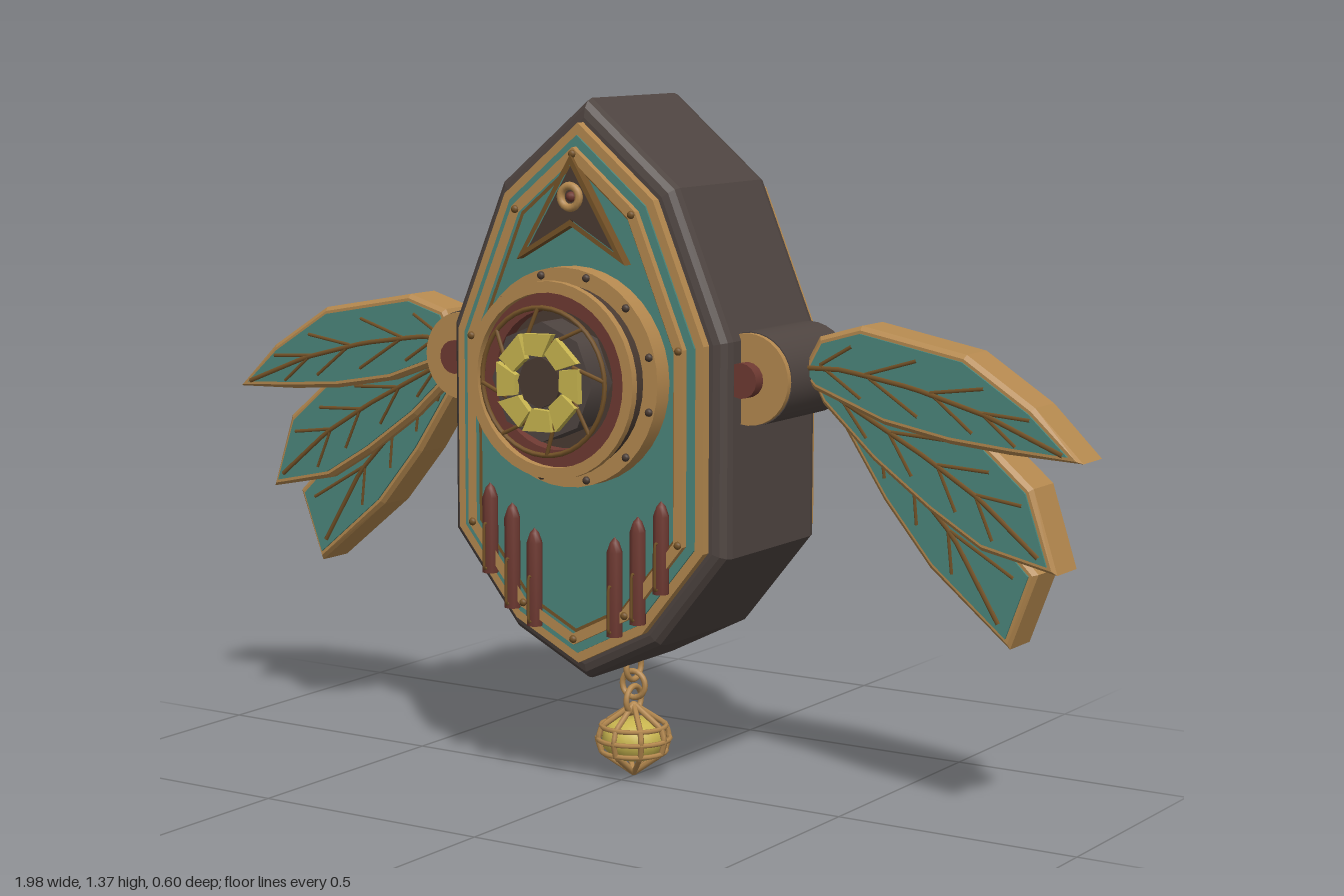
import * as THREE from 'three';

const mat = (name, color, side = THREE.FrontSide) => {
  const m = new THREE.MeshStandardMaterial({ color, side });
  m.name = name;
  return m;
};
const DARK = mat('dark casing', 0x4f4541);
const TEAL = mat('teal enamel', 0x4c877c);
const BRASS = mat('brass', 0xb5894f);
const BRONZE = mat('dark bronze', 0x755328);
const RED = mat('oxblood red', 0x6f3a32);
const GOLD = mat('yellow gold', 0xc9b650);
const BROWN = mat('dark brown', 0x4a3b32);

const V3 = (x, y, z) => new THREE.Vector3(x, y, z);

function add(parent, name, geometry, material, x = 0, y = 0, z = 0) {
  const m = new THREE.Mesh(geometry, material);
  m.name = name;
  m.position.set(x, y, z);
  parent.add(m);
  return m;
}

// Moves every edge of a polygon inward by d
function inset(pts, d) {
  const n = pts.length;
  let area = 0;
  pts.forEach(([x, y], i) => { const q = pts[(i + 1) % n]; area += x * q[1] - q[0] * y; });
  const s = Math.sign(area);
  const normal = (a, b) => {
    const l = Math.hypot(b[0] - a[0], b[1] - a[1]);
    return [-s * (b[1] - a[1]) / l, s * (b[0] - a[0]) / l];
  };
  return pts.map((p, i) => {
    const a = normal(pts[(i + n - 1) % n], p), b = normal(p, pts[(i + 1) % n]);
    const k = d / Math.max(0.15, 1 + a[0] * b[0] + a[1] * b[1]);
    return [p[0] + (a[0] + b[0]) * k, p[1] + (a[1] + b[1]) * k];
  });
}

// Extruded polygon between z0 and z1, with an optional hole and bevel
function plate(pts, z0, z1, hole = null, bevel = 0, segs = 1) {
  const toV = (a) => a.map(([x, y]) => new THREE.Vector2(x, y));
  const shape = new THREE.Shape(toV(bevel ? inset(pts, bevel) : pts));
  if (hole) shape.holes.push(new THREE.Path(toV(hole)));
  const g = new THREE.ExtrudeGeometry(shape, {
    depth: z1 - z0 - 2 * bevel, bevelEnabled: bevel > 0,
    bevelSize: bevel, bevelThickness: bevel, bevelSegments: segs,
  });
  return g.translate(0, 0, z0 + bevel);
}

// Flat-faced round ring between z0 and z1
function ring(rOut, rIn, z0, z1) {
  const p = [[rIn, z0], [rOut, z0], [rOut, z1], [rIn, z1], [rIn, z0]];
  const pts = p.flatMap(([r, z], i) => (i && i < 4 ? [[r, z], [r, z]] : [[r, z]]));
  return new THREE.LatheGeometry(pts.map(([r, z]) => new THREE.Vector2(r, z)), 40).rotateX(Math.PI / 2);
}
const disc = (r, z0, z1, seg = 32) =>
  new THREE.CylinderGeometry(r, r, z1 - z0, seg).rotateX(Math.PI / 2).translate(0, 0, (z0 + z1) / 2);

function rod(parent, name, points, r, material, seg = 6) {
  const path = new THREE.CurvePath();
  for (let i = 1; i < points.length; i++) path.add(new THREE.LineCurve3(points[i - 1], points[i]));
  return add(parent, name, new THREE.TubeGeometry(path, (points.length - 1) * 4, r, seg), material);
}

const half = [[0.2, 1.2], [0.32, 0.915], [0.32, 0.5], [0.17, 0.315]];
const OUTLINE = [[0, 1.365], ...half, [0, 0.23], ...half.slice().reverse().map(([x, y]) => [-x, y])];

// Trimmed enamel panel with arrowhead emblem and pipes, facing +z from z = 0
function makePanel(name) {
  const g = new THREE.Group();
  g.name = name;
  const at = (d) => inset(OUTLINE, d);
  add(g, 'outerTrim', plate(at(0.035), 0, 0.02, at(0.054)), BRASS);
  add(g, 'enamelPanel', plate(at(0.053), 0.004, 0.024), TEAL);
  add(g, 'innerTrim', plate(at(0.07), 0.02, 0.038, at(0.09)), BRASS);
  add(g, 'trimGroove', plate(at(0.09), 0.02, 0.028, at(0.097)), BRONZE);
  // Rivets along the trim
  at(0.08).forEach(([x, y]) =>
    add(g, 'trimRivet', new THREE.SphereGeometry(0.008, 8, 6), BRONZE, x, y, 0.038));
  // Arrowhead emblem
  const arrow = [[0, 1.26], [0.125, 1.055], [0, 1.125], [-0.125, 1.055]];
  add(g, 'emblemEdge', plate(arrow, 0.02, 0.046, inset(arrow, 0.01)), BRONZE);
  add(g, 'emblem', plate(inset(arrow, 0.009), 0.02, 0.04), BROWN);
  add(g, 'emblemRing', new THREE.TorusGeometry(0.021, 0.008, 8, 20), BRASS, 0, 1.18, 0.046);
  add(g, 'emblemStud', new THREE.SphereGeometry(0.01, 10, 8), RED, 0, 1.18, 0.042);
  // Pointed pipes with wire loops
  for (const s of [1, -1]) {
    for (const [x, lo, hi] of [[0.2, 0.43, 0.61], [0.147, 0.365, 0.575], [0.094, 0.335, 0.53]]) {
      const prof = [[0, lo], [0.016, lo], [0.016, hi - 0.03], [0.009, hi - 0.01], [0, hi]];
      add(g, 'pipe', new THREE.LatheGeometry(prof.map((p) => new THREE.Vector2(...p)), 8), RED, s * x, 0, 0.034);
      rod(g, 'pipeWire', [V3(s * x, lo + 0.1, 0.045), V3(s * x, lo + 0.1, 0.056),
        V3(s * x, lo + 0.01, 0.056), V3(s * x, lo + 0.01, 0.045)], 0.003, BRONZE, 5);
    }
  }
  return g;
}

// Round dial with iris, centred on its axis; z is in model space
function makeDial() {
  const g = new THREE.Group();
  g.name = 'dial';
  g.position.y = 0.835;
  add(g, 'dialBase', ring(0.212, 0.15, 0.15, 0.198), BRASS);
  add(g, 'dialFloor', disc(0.155, 0.15, 0.205), BROWN);
  add(g, 'redCollar', ring(0.17, 0.135, 0.198, 0.234), RED);
  add(g, 'bezel', ring(0.19, 0.168, 0.234, 0.25), BRASS);
  add(g, 'bezelNeck', ring(0.18, 0.168, 0.198, 0.234), BROWN);
  add(g, 'irisRim', new THREE.TorusGeometry(0.141, 0.005, 6, 40), BRONZE, 0, 0, 0.27);
  add(g, 'irisPlate', disc(0.115, 0.2, 0.274, 8), DARK);
  add(g, 'irisCentre', disc(0.05, 0.27, 0.282, 8), BROWN);
  for (let i = 0; i < 12; i++) {
    const a = (i + 0.5) * Math.PI / 6;
    add(g, 'dialRivet', new THREE.SphereGeometry(0.008, 8, 6), BROWN, 0.201 * Math.cos(a), 0.201 * Math.sin(a), 0.2);
  }
  // Overlapping shutter blades and their spokes
  for (let i = 0; i < 8; i++) {
    const blade = new THREE.Group();
    blade.name = 'shutterBlade';
    blade.rotation.z = i * Math.PI / 4;
    g.add(blade);
    add(blade, 'blade', plate([[0.05, -0.012], [0.094, -0.034], [0.092, 0.032], [0.052, 0.027]], 0.276, 0.291), GOLD);
    rod(blade, 'spoke', [V3(0.075, 0.034, 0.28), V3(0.14, 0.01, 0.272)], 0.004, BRONZE);
  }
  return g;
}

// Feathers: upper and lower edge from base to tip, with depth range
const FEATHERS = [
  { z0: -0.103, z1: -0.008,
    up: [[0.4, 0.85], [0.44, 0.922], [0.53, 0.948], [0.75, 0.908], [0.89, 0.82], [1.0, 0.72]],
    low: [[0.4, 0.85], [0.43, 0.82], [0.58, 0.765], [0.72, 0.74], [0.84, 0.73], [1.0, 0.72]] },
  { z0: -0.138, z1: -0.04,
    up: [[0.4, 0.84], [0.5, 0.825], [0.64, 0.795], [0.78, 0.745], [0.875, 0.665], [0.93, 0.505]],
    low: [[0.4, 0.84], [0.43, 0.79], [0.54, 0.69], [0.66, 0.605], [0.77, 0.54], [0.93, 0.505]] },
  { z0: -0.166, z1: -0.068,
    up: [[0.4, 0.83], [0.5, 0.79], [0.62, 0.72], [0.74, 0.63], [0.875, 0.5], [0.82, 0.35]],
    low: [[0.4, 0.83], [0.44, 0.775], [0.49, 0.7], [0.55, 0.61], [0.65, 0.49], [0.82, 0.35]] },
];

function makeWing(s) {
  const wing = new THREE.Group();
  wing.name = s > 0 ? 'leftWing' : 'rightWing';
  for (const f of FEATHERS) {
    const g = new THREE.Group();
    g.name = 'feather';
    wing.add(g);
    const flip = (a) => a.map(([x, y]) => [s * x, y]);
    const up = flip(f.up), low = flip(f.low);
    const pts = [...up, ...low.slice(1, -1).reverse()];
    add(g, 'featherBody', plate(pts, f.z0, f.z1, null, 0.008), BRASS);
    add(g, 'featherEnamel', plate(inset(pts, 0.014), f.z1 - 0.003, f.z1 + 0.004), TEAL);
    // Midrib and slanted veins on both faces
    const along = (a, t) => {
      const u = Math.min(t, 0.999) * 5, i = Math.floor(u), k = u - i;
      return [a[i][0] + (a[i + 1][0] - a[i][0]) * k, a[i][1] + (a[i + 1][1] - a[i][1]) * k];
    };
    const point = (t, k, z) => {
      const a = along(low, t), b = along(up, t);
      return V3(a[0] + (b[0] - a[0]) * k, a[1] + (b[1] - a[1]) * k, z);
    };
    for (const z of [f.z0 - 0.001, f.z1 + 0.005]) {
      rod(g, 'midrib', [0.12, 0.3, 0.5, 0.7, 0.93].map((t) => point(t, 0.5, z)), 0.005, BRONZE, 5);
      for (const t of [0.22, 0.38, 0.54, 0.68]) {
        for (const k of [0.2, 0.8]) {
          rod(g, 'vein', [point(t, 0.5, z), point(t + 0.13, k, z)], 0.0035, BRONZE, 4);
        }
      }
    }
  }
  // Hinge drum with brass cap and red stud
  const hub = new THREE.Group();
  hub.name = 'wingHub';
  hub.position.set(s * 0.335, 0.842, 0);
  wing.add(hub);
  add(hub, 'hubDrum', disc(0.09, -0.16, 0.062), DARK);
  add(hub, 'hubCap', disc(0.088, 0.06, 0.074), BRASS);
  add(hub, 'hubStud', disc(0.034, 0.07, 0.1, 16), RED);
  return wing;
}

// Caged bell on a short chain
function makeBell() {
  const g = new THREE.Group();
  g.name = 'bell';
  g.position.z = -0.045;
  [[0.225, 1], [0.188, 0], [0.157, 1]].forEach(([y, turn]) => {
    const link = add(g, 'chainLink', new THREE.TorusGeometry(0.027, 0.006, 8, 20), BRASS, 0, y, 0);
    link.rotation.y = turn * Math.PI / 2;
  });
  const prof = [[0, 0.035], [0.045, 0.04], [0.062, 0.06], [0.064, 0.078], [0.06, 0.096], [0.045, 0.112], [0, 0.117]];
  add(g, 'bellCore', new THREE.LatheGeometry(prof.map((p) => new THREE.Vector2(...p)), 20), GOLD);
  for (const [y, r] of [[0.104, 0.066], [0.078, 0.074], [0.052, 0.066]]) {
    add(g, 'cageRing', new THREE.TorusGeometry(r, 0.005, 6, 24).rotateX(Math.PI / 2), BRASS, 0, y, 0);
  }
  for (let i = 0; i < 8; i++) {
    const bar = rod(g, 'cageBar', [V3(0.004, 0.145, 0), V3(0.066, 0.104, 0), V3(0.074, 0.078, 0),
      V3(0.066, 0.052, 0), V3(0.004, 0.008, 0)], 0.006, BRASS);
    bar.rotation.y = i * Math.PI / 4;
  }
  add(g, 'cageTop', new THREE.SphereGeometry(0.011, 10, 8), BRASS, 0, 0.142, 0);
  add(g, 'cageBottom', new THREE.SphereGeometry(0.01, 10, 8), BRASS, 0, 0.01, 0);
  return g;
}

export function createModel() {
  const model = new THREE.Group();
  model.name = 'wingedClockCase';
  add(model, 'casing', plate(OUTLINE, -0.22, 0.13, null, 0.028, 3), DARK);
  const front = makePanel('frontPanel');
  front.position.z = 0.132;
  const back = makePanel('backPanel');
  back.position.z = -0.245;
  back.rotation.y = Math.PI;
  model.add(front, back, makeDial(), makeWing(1), makeWing(-1), makeBell());
  return model;
}
